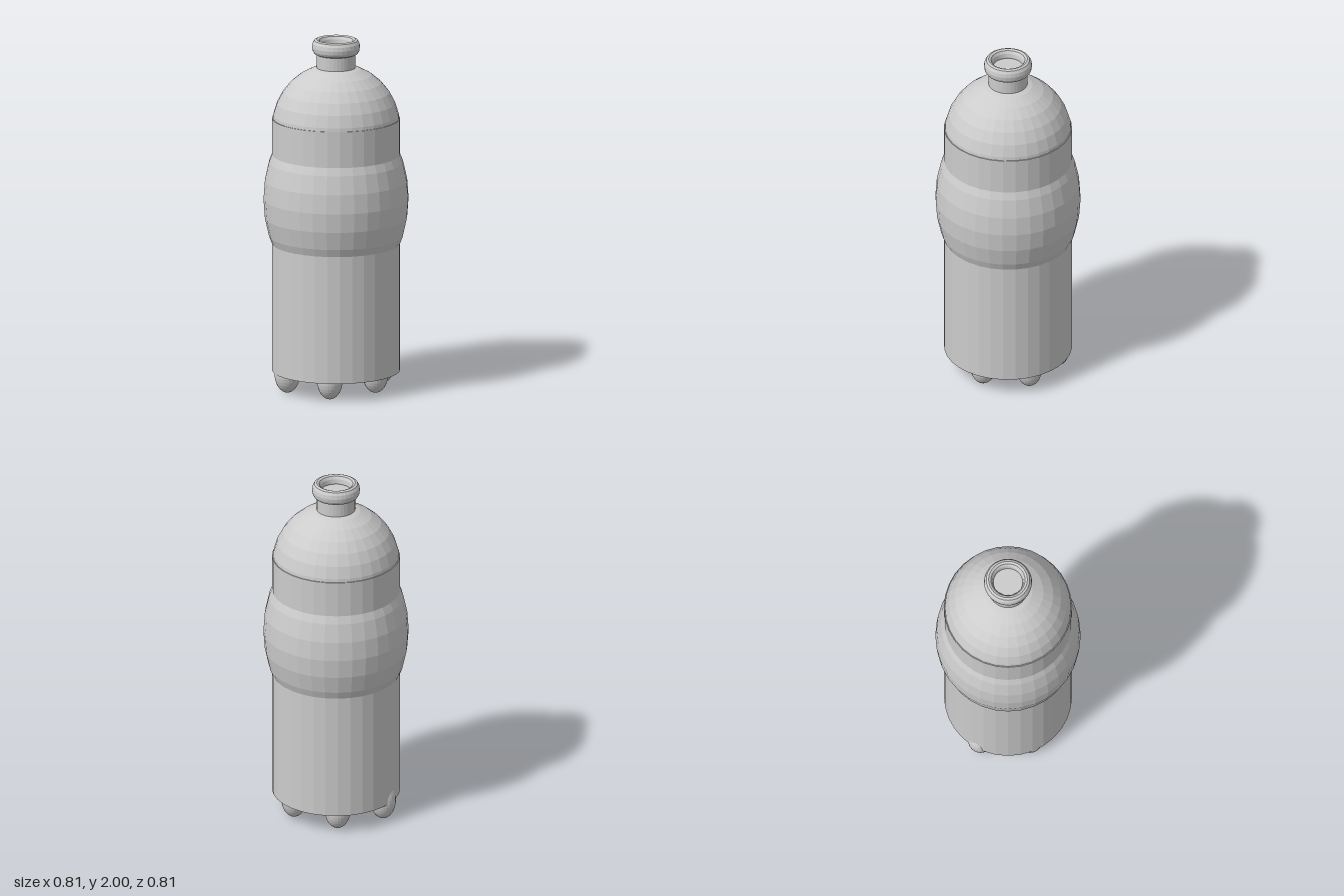
import * as THREE from 'three';

const SIDES = 32;

export function createModel() {
  const model = new THREE.Group();
  model.name = 'bottle';
  const grey = new THREE.MeshStandardMaterial({ color: 0xcccccc, flatShading: true });
  grey.name = 'light grey';

  function add(name, geometry, x, y, z) {
    const mesh = new THREE.Mesh(geometry, grey);
    mesh.name = name;
    mesh.position.set(x, y, z);
    model.add(mesh);
    return mesh;
  }

  // Straight body, with a narrow ledge where the shoulder begins
  add('body', new THREE.CylinderGeometry(0.357, 0.357, 1.44, SIDES), 0, 0.83, 0);

  // Domed shoulder: the upper half of a sphere
  add('shoulder', new THREE.SphereGeometry(0.357, SIDES, 8, 0, Math.PI * 2, 0, Math.PI / 2), 0, 1.5, 0);

  // Bulging grip: middle bands of a tall ellipsoid, ends buried in the body
  const grip = new THREE.SphereGeometry(0.405, SIDES, 6, 0, Math.PI * 2, Math.PI * 5 / 16, Math.PI * 6 / 16);
  grip.scale(1, 1.36, 1);
  add('grip', grip, 0, 1.09, 0);

  // Neck, closed inside the rounded lip
  add('neck', new THREE.CylinderGeometry(0.108, 0.108, 0.15, SIDES), 0, 1.875, 0);
  const lip = new THREE.TorusGeometry(0.108, 0.026, 12, SIDES);
  lip.rotateX(Math.PI / 2);
  lip.scale(1, 1.65, 1);
  add('lip', lip, 0, 1.957, 0);

  // Six egg-shaped feet in a ring; those on the left sit slightly higher
  const feet = [
    [0, 0.108, 0.255], [0.238, 0.122, 0.12], [0.238, 0.118, -0.138],
    [0, 0.11, -0.275], [-0.257, 0.108, -0.152], [-0.257, 0.108, 0.122],
  ];
  const foot = new THREE.SphereGeometry(0.072, 24, 16);
  foot.scale(1, 1.5, 1);
  for (const [x, y, z] of feet) add('foot', foot, x, y, z);

  return model;
}
